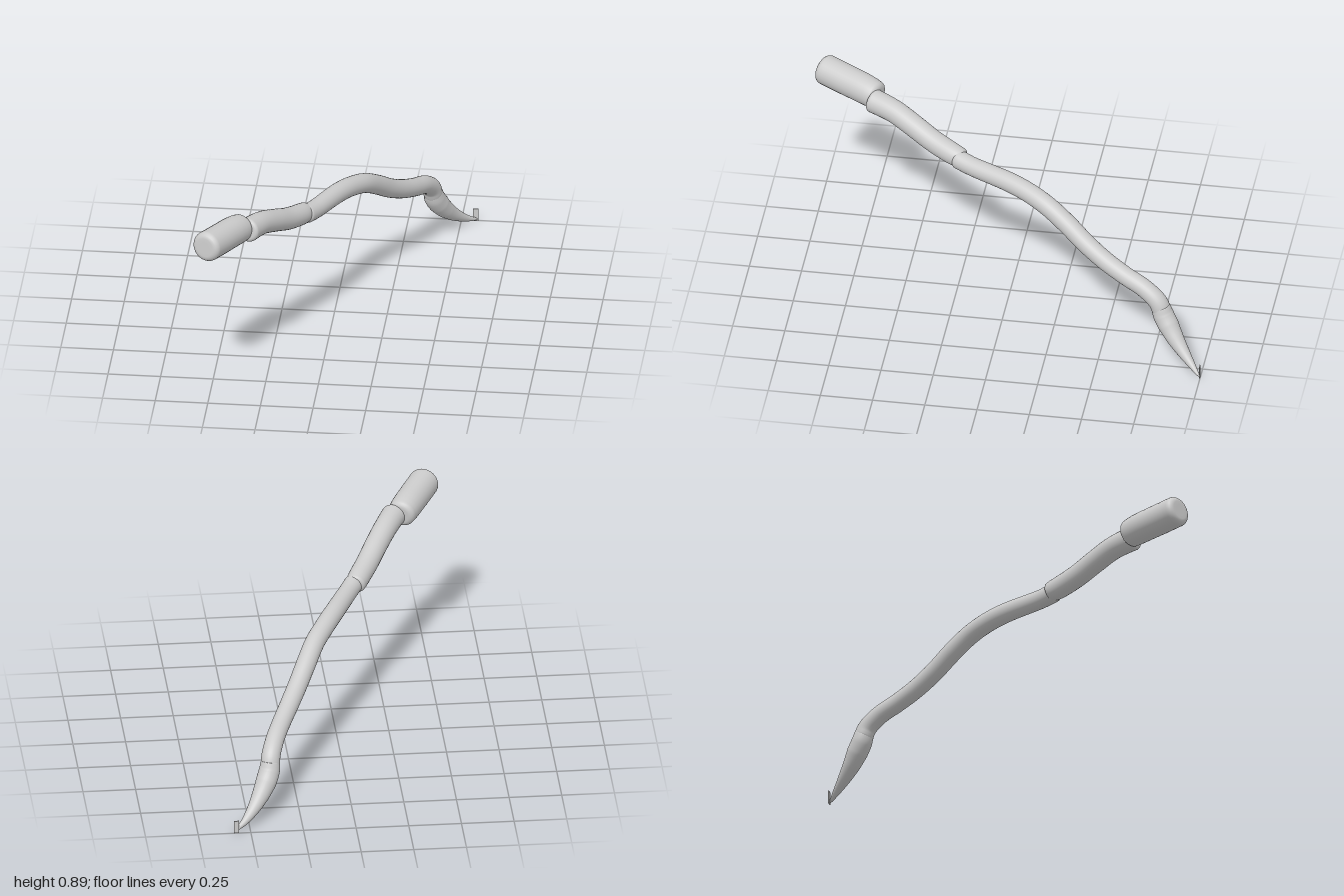
import * as THREE from 'three';

const SIDES = 28;

// Sweeps a round section along points [x, y, z, radius]; both ends get a cap with a rounded rim.
function sweep(name, pts, bevel, steps, material) {
  const curve = new THREE.CatmullRomCurve3(pts.map(p => new THREE.Vector3(p[0], p[1], p[2])));
  const rings = [];
  const last = pts.length - 1;
  const addEnd = (t, sign) => {
    const c = curve.getPoint(t), tan = curve.getTangent(t);
    const r = pts[t * last][3], b = Math.min(bevel, r * 0.9);
    const cap = [[0, 0], [0, (r - b) * 0.6]];
    for (let i = 0; i <= 5; i++) {
      const a = i / 5 * Math.PI / 2;
      cap.push([b * (1 - Math.cos(a)), r - b + b * Math.sin(a)]);
    }
    if (sign < 0) cap.reverse();
    cap.forEach(([d, rad]) => rings.push({ c: c.clone().addScaledVector(tan, d * sign), tan, r: rad }));
  };
  addEnd(0, 1);
  const margin = bevel * 1.2 / curve.getLength();
  for (let i = 1; i < steps; i++) {
    const u = margin + (1 - 2 * margin) * i / steps;
    const t = curve.getUtoTmapping(u);
    const k = Math.min(Math.floor(t * last), last - 1);
    const r = THREE.MathUtils.lerp(pts[k][3], pts[k + 1][3], t * last - k);
    rings.push({ c: curve.getPoint(t), tan: curve.getTangent(t), r });
  }
  addEnd(1, -1);

  const pos = [], index = [], up = new THREE.Vector3(0, 1, 0);
  rings.forEach(({ c, tan, r }, j) => {
    const side = new THREE.Vector3().crossVectors(tan, up).normalize();
    const nor = new THREE.Vector3().crossVectors(side, tan);
    for (let i = 0; i < SIDES; i++) {
      const a = i / SIDES * Math.PI * 2;
      const p = c.clone().addScaledVector(side, Math.cos(a) * r).addScaledVector(nor, Math.sin(a) * r);
      pos.push(p.x, p.y, p.z);
      if (j < rings.length - 1) {
        const n = (i + 1) % SIDES, o = j * SIDES;
        index.push(o + i, o + n, o + SIDES + i, o + n, o + SIDES + n, o + SIDES + i);
      }
    }
  });
  const geo = new THREE.BufferGeometry();
  geo.setAttribute('position', new THREE.Float32BufferAttribute(pos, 3));
  geo.setIndex(index);
  geo.computeVertexNormals();
  const mesh = new THREE.Mesh(geo, material);
  mesh.name = name;
  return mesh;
}

export function createModel() {
  const group = new THREE.Group();
  group.name = 'wavyWand';
  const mat = new THREE.MeshStandardMaterial({ color: 0xcccccc, side: THREE.DoubleSide });

  // Thick grip
  group.add(sweep('handle', [
    [-0.518, 0.818, 0.985, 0.073], [-0.46, 0.807, 0.87, 0.073],
    [-0.41, 0.798, 0.77, 0.072], [-0.368, 0.787, 0.69, 0.068],
  ], 0.028, 20, mat));

  // Upper shaft, stepping down from the grip
  group.add(sweep('upperShaft', [
    [-0.345, 0.782, 0.72, 0.058], [-0.288, 0.765, 0.6, 0.055], [-0.236, 0.73, 0.5, 0.054],
    [-0.185, 0.69, 0.4, 0.053], [-0.135, 0.663, 0.3, 0.052], [-0.112, 0.652, 0.245, 0.048],
  ], 0.018, 40, mat));

  // Slimmer winding shaft, running down into the bend
  group.add(sweep('lowerShaft', [
    [-0.115, 0.654, 0.28, 0.046], [-0.075, 0.643, 0.2, 0.045], [0.015, 0.632, 0, 0.047],
    [0.065, 0.617, -0.1, 0.047], [0.12, 0.587, -0.2, 0.047], [0.17, 0.53, -0.3, 0.047],
    [0.222, 0.463, -0.4, 0.046], [0.272, 0.41, -0.5, 0.045], [0.318, 0.37, -0.6, 0.044],
    [0.358, 0.333, -0.7, 0.044], [0.382, 0.285, -0.765, 0.045], [0.389, 0.235, -0.79, 0.046],
  ], 0.02, 110, mat));

  // Tapering point below the bend
  group.add(sweep('tip', [
    [0.387, 0.26, -0.782, 0.045], [0.393, 0.22, -0.795, 0.05], [0.411, 0.175, -0.822, 0.05],
    [0.44, 0.125, -0.858, 0.042], [0.48, 0.075, -0.905, 0.03], [0.53, 0.032, -0.957, 0.016],
    [0.575, 0.01, -0.995, 0.005],
  ], 0.004, 50, mat));

  // Small upright tab at the very end
  const tab = new THREE.Mesh(new THREE.BoxGeometry(0.025, 0.063, 0.005), mat);
  tab.name = 'endTab';
  tab.position.set(0.568, 0.0315, -0.9975);
  group.add(tab);

  return group;
}
